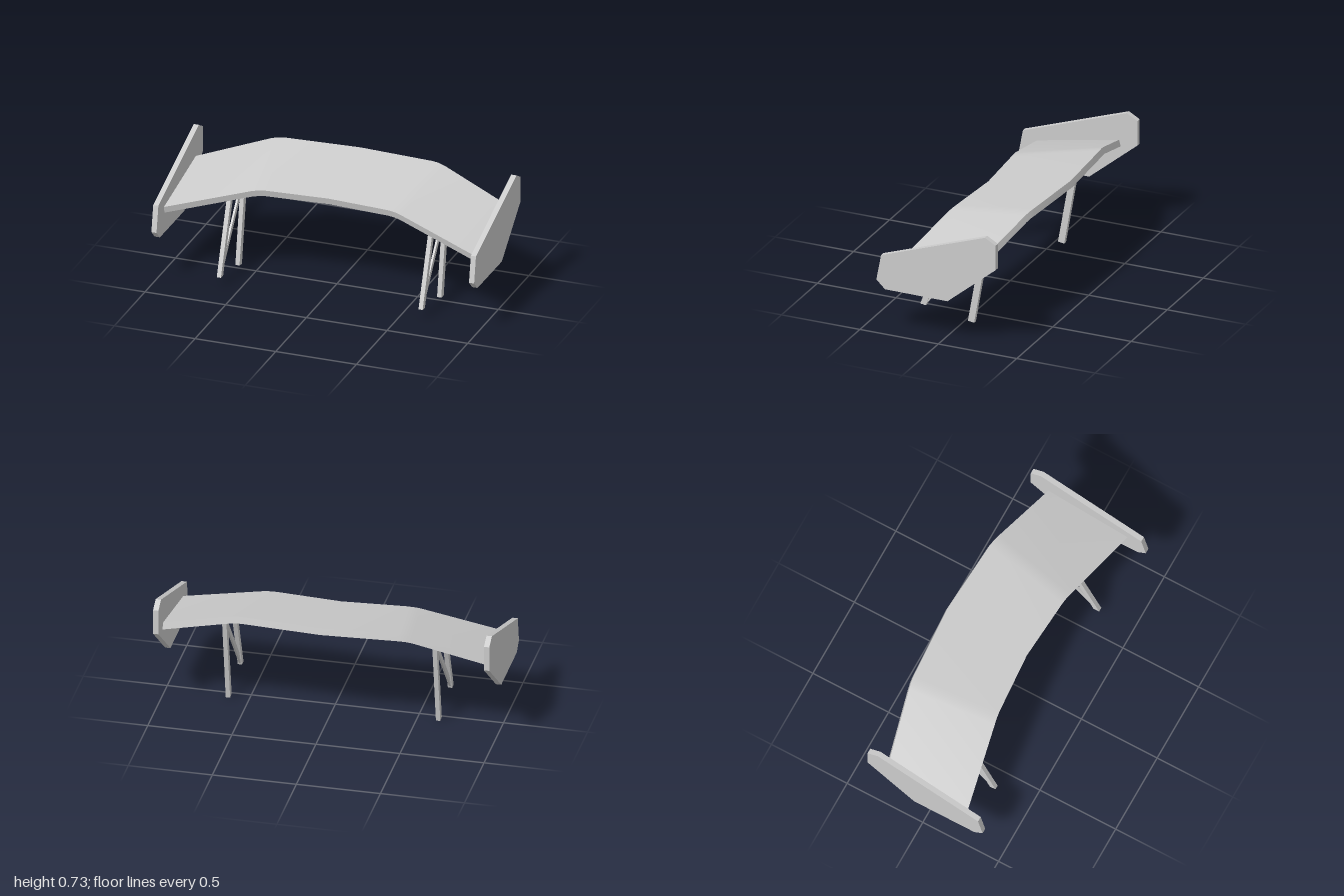
import * as THREE from 'three';
import { toCreasedNormals } from 'three/addons/utils/BufferGeometryUtils.js';

const material = new THREE.MeshStandardMaterial({ color: 0xcccccc });

// Side profile of [z, y] points, extruded across x and centred on x
function sidePlate(name, points, x, thickness) {
  const shape = new THREE.Shape(points.map(([z, y]) => new THREE.Vector2(z, y)));
  const geometry = new THREE.ExtrudeGeometry(shape, { depth: thickness, bevelEnabled: false });
  geometry.rotateY(-Math.PI / 2).translate(x + thickness / 2, 0, 0);
  const mesh = new THREE.Mesh(geometry, material);
  mesh.name = name;
  return mesh;
}

// Wing lofted from skewed four-corner sections along x
function wing() {
  // Half span: front x, z, y then back x, z, y (top edges)
  const half = [
    [0, 0.14, 0.605, 0, -0.385, 0.705],
    [0.38, 0.167, 0.605, 0.46, -0.357, 0.705],
    [0.42, 0.172, 0.602, 0.5, -0.351, 0.702],
    [0.46, 0.18, 0.595, 0.54, -0.343, 0.693],
    [0.97, 0.275, 0.45, 0.97, -0.248, 0.55],
  ];
  const mirrored = half.slice(1).reverse().map(([fx, fz, fy, bx, bz, by]) => [-fx, fz, fy, -bx, bz, by]);
  const sections = [...mirrored, ...half];
  const drop = 0.04, lean = 0.01;
  const positions = [], index = [];
  for (const [fx, fz, fy, bx, bz, by] of sections) {
    positions.push(fx, fy, fz, bx, by, bz, bx, by - drop, bz - lean, fx, fy - drop, fz - lean);
  }
  for (let i = 0; i < sections.length - 1; i++) {
    for (let k = 0; k < 4; k++) {
      const a = i * 4 + k, b = i * 4 + (k + 1) % 4, c = b + 4, d = a + 4;
      index.push(a, c, b, a, d, c);
    }
  }
  // End caps
  const e = (sections.length - 1) * 4;
  index.push(0, 1, 2, 0, 2, 3, e, e + 2, e + 1, e, e + 3, e + 2);
  const geometry = new THREE.BufferGeometry();
  geometry.setAttribute('position', new THREE.Float32BufferAttribute(positions, 3));
  geometry.setIndex(index);
  const mesh = new THREE.Mesh(toCreasedNormals(geometry, 0.4), material);
  mesh.name = 'wing';
  return mesh;
}

export function createModel() {
  const group = new THREE.Group();
  group.name = 'rearSpoiler';
  group.add(wing());

  const endPlate = [
    [0.395, 0.337], [0.365, 0.497], [-0.297, 0.728], [-0.365, 0.69],
    [-0.365, 0.535], [-0.058, 0.282], [0.34, 0.285],
  ];
  // Struts run up into the underside of the wing
  const frontStrut = [[0.282, 0.06], [0.245, 0.057], [0.068, 0.53], [0.107, 0.522]];
  const rearStrut = [[-0.022, 0.007], [-0.062, 0.001], [-0.163, 0.582], [-0.122, 0.575]];
  const brace = [[0.257, 0.05], [0.24, 0.07], [-0.158, 0.555], [-0.135, 0.575], [0.267, 0.083], [0.272, 0.066]];

  for (const [side, s] of [['left', 1], ['right', -1]]) {
    group.add(
      sidePlate(side + 'EndPlate', endPlate, s * 0.984, 0.032),
      sidePlate(side + 'FrontStrut', frontStrut, s * 0.625, 0.026),
      sidePlate(side + 'RearStrut', rearStrut, s * 0.625, 0.026),
      sidePlate(side + 'Brace', brace, s * 0.625, 0.012),
    );
  }
  return group;
}
